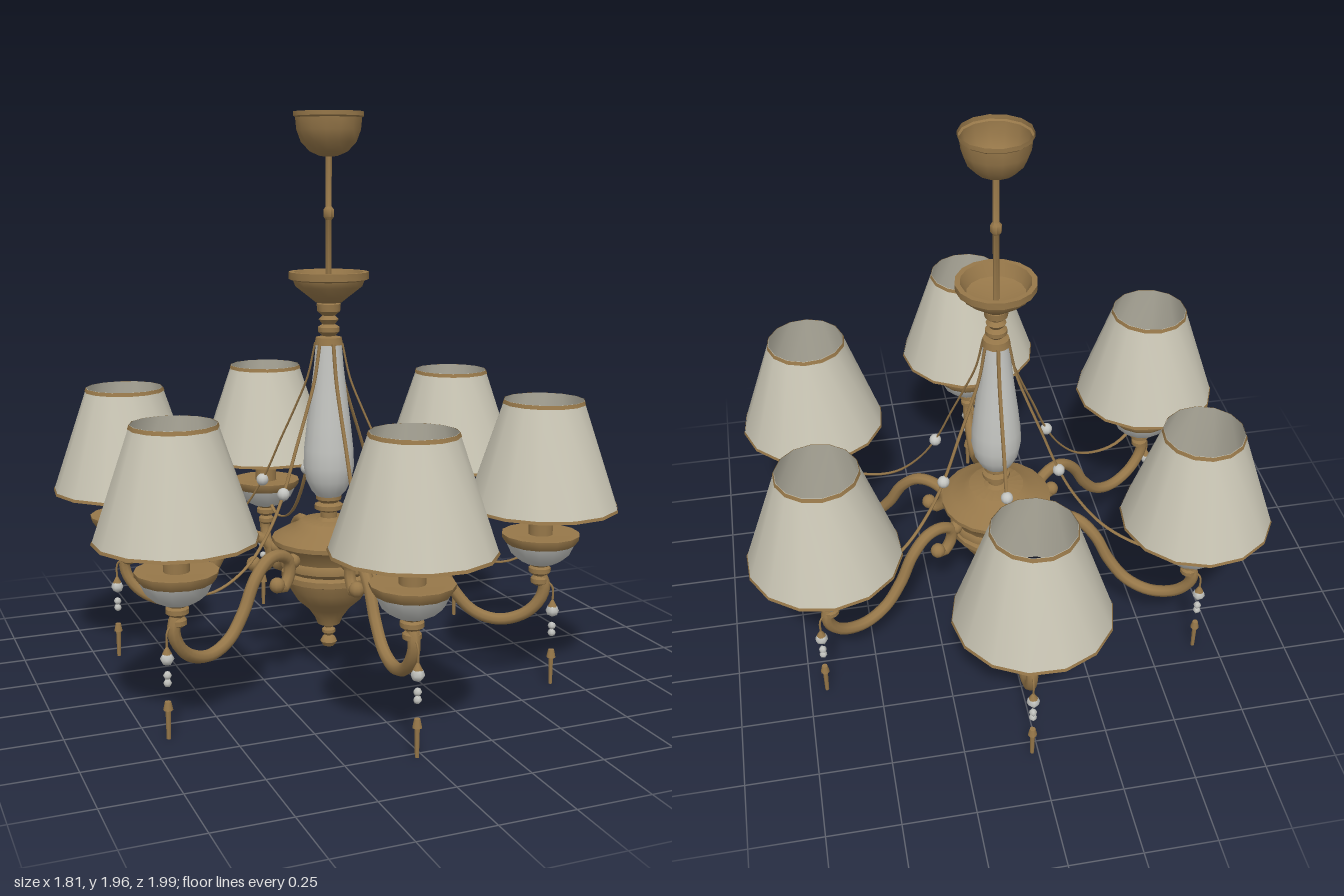
import * as THREE from 'three';
import { toCreasedNormals } from 'three/addons/utils/BufferGeometryUtils.js';

const material = (name, color) =>
  new THREE.MeshStandardMaterial({ name, color, side: THREE.DoubleSide });

export function createModel() {
  const brass = material('brass', 0x967749);
  const fabric = material('creamFabric', 0xc9c5b4);
  const porcelain = material('porcelain', 0xc3c4c0);

  const add = (parent, name, geometry, mat, x = 0, y = 0, z = 0) => {
    const mesh = new THREE.Mesh(geometry, mat);
    mesh.name = name;
    mesh.position.set(x, y, z);
    parent.add(mesh);
    return mesh;
  };
  // Turned part from [radius, height] pairs, listed bottom to top
  const turned = (points, sides = 16) => toCreasedNormals(
    new THREE.LatheGeometry(points.map(p => new THREE.Vector2(...p)), sides), 0.7);
  const curve = points => new THREE.CatmullRomCurve3(
    points.map(([x, y]) => new THREE.Vector3(x, y, 0)));

  const model = new THREE.Group();
  model.name = 'chandelier';
  const centre = new THREE.Group();
  centre.name = 'centreColumn';
  centre.position.z = -0.01;
  model.add(centre);

  // Ceiling cup, open at the top, with its hanging rod
  add(centre, 'ceilingCup', turned([[0, 1.81], [0.03, 1.813], [0.065, 1.828],
    [0.095, 1.86], [0.11, 1.9], [0.114, 1.94], [0.12, 1.945], [0.12, 1.96]], 14), brass);
  add(centre, 'hangingRod', turned([[0.011, 1.33], [0.011, 1.6], [0.019, 1.61],
    [0.019, 1.635], [0.011, 1.645], [0.011, 1.82]], 8), brass);

  // Upper dish and beaded neck
  add(centre, 'upperDish', turned([[0, 1.32], [0.045, 1.32], [0.07, 1.34], [0.115, 1.375],
    [0.122, 1.395], [0.137, 1.4], [0.138, 1.425], [0.12, 1.425], [0.1, 1.38], [0, 1.35]]), brass);
  add(centre, 'neck', turned([[0.05, 1.175], [0.045, 1.2], [0.022, 1.205], [0.038, 1.22],
    [0.038, 1.235], [0.022, 1.245], [0.035, 1.262], [0.022, 1.275], [0.04, 1.29],
    [0.042, 1.315], [0.03, 1.33]], 14), brass);

  // Porcelain vase column
  add(centre, 'vaseColumn', turned([[0.038, 0.635], [0.06, 0.66], [0.08, 0.7], [0.089, 0.75],
    [0.087, 0.81], [0.077, 0.9], [0.064, 1.0], [0.052, 1.1], [0.045, 1.18]], 18), porcelain);
  add(centre, 'vaseFoot', turned([[0.06, 0.545], [0.03, 0.565], [0.03, 0.585], [0.05, 0.595],
    [0.05, 0.61], [0.032, 0.618], [0.045, 0.63], [0.045, 0.642], [0, 0.645]], 14), brass);

  // Central hub and bottom finial
  add(centre, 'hub', turned([[0.018, 0.165], [0.04, 0.175], [0.05, 0.2], [0.075, 0.235],
    [0.115, 0.27], [0.14, 0.31], [0.152, 0.345], [0.167, 0.35], [0.167, 0.37], [0.155, 0.38],
    [0.172, 0.395], [0.172, 0.415], [0.165, 0.425], [0.18, 0.46], [0.2, 0.48], [0.2, 0.495],
    [0.165, 0.515], [0.12, 0.535], [0.1, 0.553], [0, 0.557]], 20), brass);
  add(centre, 'finial', turned([[0, 0.088], [0.02, 0.092], [0.03, 0.108], [0.022, 0.124],
    [0.012, 0.13], [0.024, 0.142], [0.024, 0.152], [0.014, 0.16], [0.02, 0.175]], 12), brass);

  // Shared shapes for the six lamps
  const R = 0.738;
  const armPath = curve([[0.275, 0.378], [0.245, 0.362], [0.212, 0.4], [0.212, 0.45],
    [0.26, 0.48], [0.32, 0.476], [0.385, 0.42], [0.44, 0.325], [0.51, 0.25], [0.6, 0.223],
    [0.69, 0.25], [0.742, 0.305], [0.755, 0.355], [R, 0.4]]);
  const armShape = new THREE.TubeGeometry(armPath, 48, 0.021, 8);
  const swagShape = new THREE.TubeGeometry(curve([[0.048, 1.18], [0.075, 1.06], [0.12, 0.95],
    [0.17, 0.84], [0.232, 0.7], [0.3, 0.59], [0.4, 0.49], [0.51, 0.44], [0.61, 0.43],
    [0.69, 0.46]]), 36, 0.004, 5);
  const knobShape = turned([[0.015, 0.355], [0.03, 0.365], [0.03, 0.38], [0.02, 0.39],
    [0.038, 0.403], [0.038, 0.418], [0.03, 0.425], [0.055, 0.44]], 12);
  const bowlShape = turned([[0.05, 0.435], [0.075, 0.448], [0.1, 0.47], [0.118, 0.508]], 14);
  const rimShape = turned([[0.118, 0.506], [0.132, 0.525], [0.134, 0.54], [0.1, 0.54], [0, 0.535]], 14);
  const shadeRadius = y => 0.26 - (y - 0.635) * 0.125 / 0.37;
  const band = (y0, y1, out) =>
    turned([[shadeRadius(y0) + out, y0], [shadeRadius(y1) + out, y1]], 14);
  const shadeShape = band(0.635, 1.005, 0);
  const trimShapes = [band(0.635, 0.645, 0.002), band(0.992, 1.005, 0.002)];
  const candleShape = new THREE.CylinderGeometry(0.042, 0.042, 0.23, 14);
  const ball = r => new THREE.SphereGeometry(r, 10, 8);
  const hookShape = new THREE.TubeGeometry(curve([[0.745, 0.35], [0.765, 0.365],
    [0.783, 0.35], [0.785, 0.29]]), 10, 0.004, 5);

  for (let i = 0; i < 6; i++) {
    const lamp = new THREE.Group();
    lamp.name = 'lampArm' + (i + 1);
    lamp.rotation.y = -THREE.MathUtils.degToRad(-88.4 + 60 * i);
    centre.add(lamp);

    // S-curved arm with scroll end and rosette
    add(lamp, 'arm', armShape, brass);
    add(lamp, 'scrollTip', ball(0.027), brass, 0.272, 0.378);
    add(lamp, 'rosette', ball(0.026), brass, 0.19, 0.445);

    // Hanging swag with a bead
    add(lamp, 'swag', swagShape, brass).scale.z = 1.8;
    add(lamp, 'swagBead', ball(0.022), porcelain, 0.238, 0.688);

    // Bowl, candle and bulb
    add(lamp, 'bowlKnob', knobShape, brass, R);
    add(lamp, 'bowl', bowlShape, porcelain, R);
    add(lamp, 'bowlRim', rimShape, brass, R);
    add(lamp, 'candle', candleShape, brass, R, 0.65);
    add(lamp, 'bulb', ball(0.046), porcelain, R, 0.795).scale.y = 1.3;

    // Shade with brass edging
    add(lamp, 'shade', shadeShape, fabric, R);
    trimShapes.forEach(shape => add(lamp, 'shadeTrim', shape, brass, R));

    // Crystal pendant
    const px = 0.785;
    add(lamp, 'pendantHook', hookShape, brass);
    add(lamp, 'pendantCap', new THREE.ConeGeometry(0.016, 0.03, 8), brass, px, 0.295);
    add(lamp, 'pendantCrystal', new THREE.OctahedronGeometry(0.023, 1), porcelain, px, 0.265);
    for (const y of [0.21, 0.185])
      add(lamp, 'pendantBead', new THREE.OctahedronGeometry(0.014, 1), porcelain, px, y);
    add(lamp, 'dropCap', new THREE.CylinderGeometry(0.01, 0.016, 0.028, 8), brass, px, 0.11);
    add(lamp, 'dropRod', new THREE.CylinderGeometry(0.009, 0.007, 0.1, 6), brass, px, 0.05);
  }
  return model;
}
